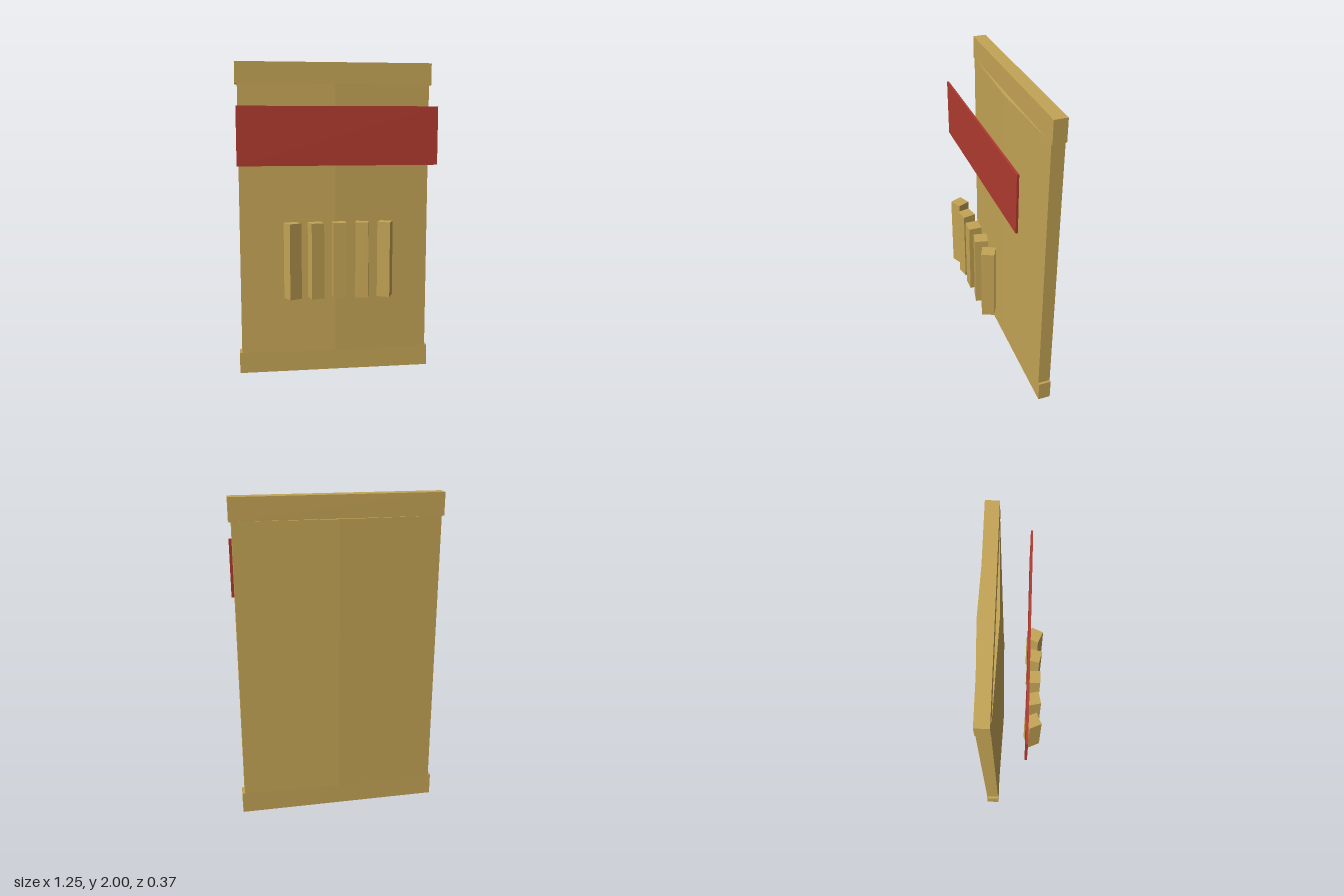
import * as THREE from 'three';

export function createModel() {
  const model = new THREE.Group();
  const gold = new THREE.MeshStandardMaterial({ color: 0xc4a455 });
  gold.name = 'gold';
  const red = new THREE.MeshStandardMaterial({ color: 0xb03a2e });
  red.name = 'red';

  const add = (name, geometry, material, x, y, z) => {
    const mesh = new THREE.Mesh(geometry, material);
    mesh.name = name;
    mesh.position.set(x, y, z);
    model.add(mesh);
    return mesh;
  };
  const box = (name, w, h, d, material, x, y, z) =>
    add(name, new THREE.BoxGeometry(w, h, d), material, x, y, z);

  // Door panel: a box with both faces rising to a shallow central ridge
  const backZ = -0.127;
  const panel = new THREE.BoxGeometry(1.22, 1.73, 0.078, 2, 1, 1).toNonIndexed();
  const pos = panel.attributes.position;
  for (let i = 0; i < pos.count; i++) {
    if (Math.abs(pos.getX(i)) < 0.01) pos.setZ(i, Math.sign(pos.getZ(i)) * 0.06);
  }
  panel.computeVertexNormals();
  add('panel', panel, gold, 0, 1, backZ);

  // Rails across the top and bottom
  box('topRail', 1.25, 0.137, 0.08, gold, 0, 1.9315, backZ);
  box('bottomRail', 1.25, 0.137, 0.08, gold, 0, 0.0685, backZ);

  // Red band standing in front of the panel
  box('band', 1.24, 0.36, 0.013, red, 0, 1.545, 0.09);

  // Row of upright bars, each turned toward the middle
  for (let i = -2; i <= 2; i++) {
    const bar = box('bar', 0.08, 0.47, 0.08, gold, i * 0.1437 - 0.003, 0.785, 0.134);
    bar.rotation.y = -i * 0.21;
  }

  return model;
}
